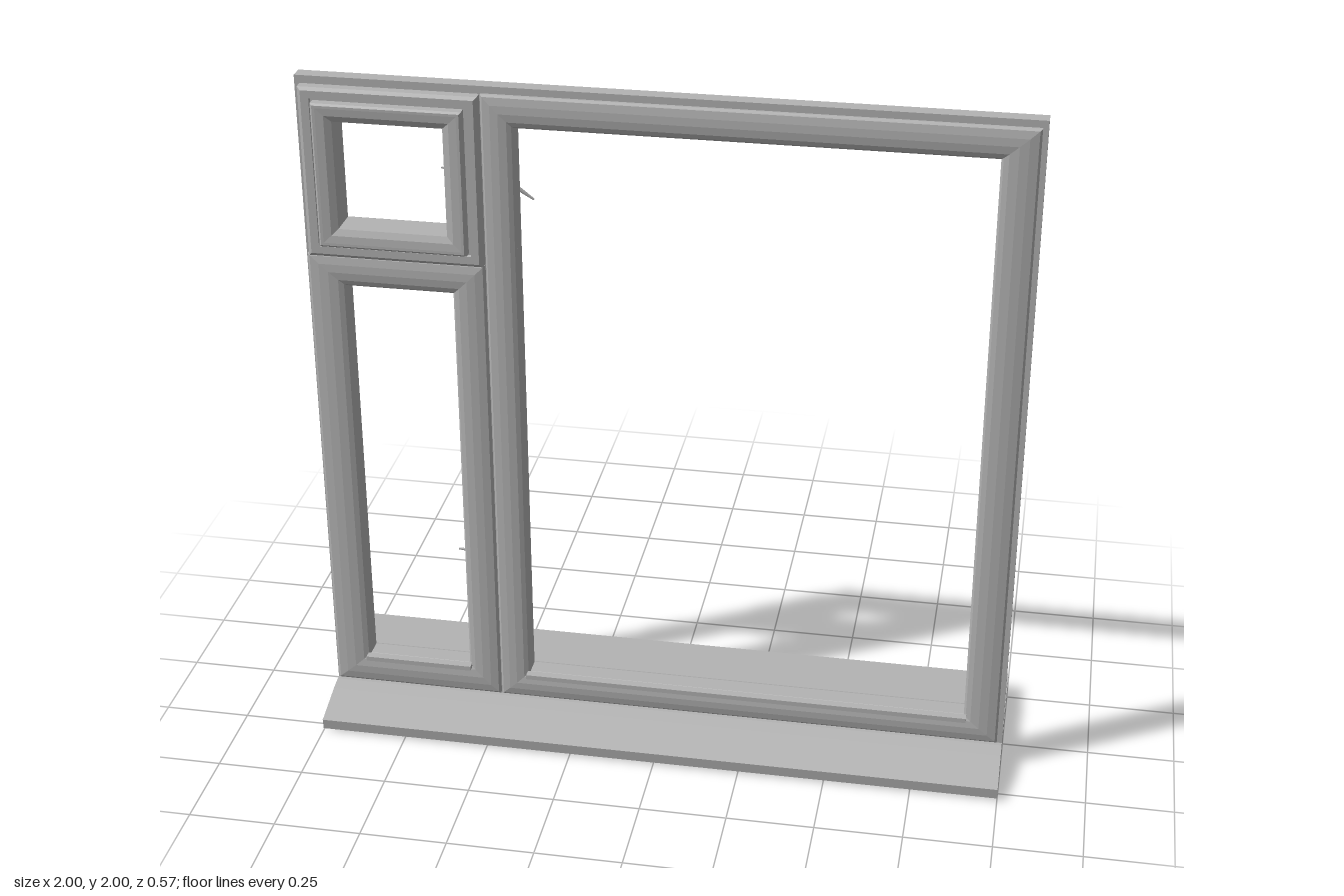
import * as THREE from 'three';

const grey = new THREE.MeshStandardMaterial({ color: 0xb4b4b4 });
grey.name = 'grey';

function add(parent, name, geometry) {
  const mesh = new THREE.Mesh(geometry, grey);
  mesh.name = name;
  parent.add(mesh);
  return mesh;
}

// Mitred rectangular ring; rects are [x0, y0, x1, y1], profile is a closed
// loop of [t, z] with t running from the outer rect (0) to the inner one (1).
function mitredRing(outer, inner, profile) {
  const corner = (r, k) => [r[k === 1 || k === 2 ? 2 : 0], r[k > 1 ? 3 : 1]];
  const point = ([t, z], k) => {
    const o = corner(outer, k), i = corner(inner, k);
    return [o[0] + (i[0] - o[0]) * t, o[1] + (i[1] - o[1]) * t, z];
  };
  const positions = [];
  for (let k = 0; k < 4; k++) {
    const next = (k + 1) % 4;
    profile.forEach((p, i) => {
      const q = profile[(i + 1) % profile.length];
      const a = point(p, k), b = point(p, next), c = point(q, next), d = point(q, k);
      positions.push(...a, ...b, ...c, ...a, ...c, ...d);
    });
  }
  const geometry = new THREE.BufferGeometry();
  geometry.setAttribute('position', new THREE.Float32BufferAttribute(positions, 3));
  geometry.computeVertexNormals();
  return geometry;
}

// Extrudes a [z, y] section across the full width
function sillGeometry(section) {
  const shape = new THREE.Shape(section.map(([z, y]) => new THREE.Vector2(z, y)));
  const geometry = new THREE.ExtrudeGeometry(shape, { depth: 2, bevelEnabled: false });
  geometry.rotateY(-Math.PI / 2);
  geometry.translate(1, 0, 0);
  return geometry;
}

// Frame body with a raised glazing bead on the inside
const bodyProfile = [
  [0, 0.112], [1, 0.112], [1, 0.066], [0.96, 0.056], [0.88, 0.055], [0.86, 0.062],
  [0.12, 0.061], [0.04, 0.064], [0, 0.07],
];
// Gently rounded outside face
const faceProfile = [
  [0, 0.11], [0, 0.121], [0.06, 0.125], [0.3, 0.129], [0.55, 0.13], [0.8, 0.127],
  [0.94, 0.122], [1, 0.116], [1, 0.11],
];
// Stepped opening sash
const sashProfile = [
  [0, 0.11], [0, 0.138], [0.1, 0.145], [0.34, 0.145], [0.36, 0.136], [0.42, 0.136],
  [0.42, 0.16], [0.48, 0.165], [0.56, 0.165], [0.8, 0.163], [1, 0.155], [1, 0.11],
];

function makeHandle(name, x, y, angle) {
  const handle = new THREE.Group();
  handle.name = name;
  handle.position.set(x, y, 0.06);

  const plate = add(handle, 'handlePlate', new THREE.CylinderGeometry(0.014, 0.018, 0.01, 20));
  plate.rotation.x = -Math.PI / 2;
  plate.scale.z = 1.9;
  plate.position.z = -0.003;

  // Neck curves out of the plate into the tapered lever
  const lever = new THREE.Group();
  lever.name = 'lever';
  lever.rotation.z = angle;
  const neck = new THREE.QuadraticBezierCurve3(
    new THREE.Vector3(0, 0, 0), new THREE.Vector3(0, 0, -0.033), new THREE.Vector3(0.028, 0, -0.035));
  add(lever, 'leverNeck', new THREE.TubeGeometry(neck, 10, 0.0075, 10));
  const grip = add(lever, 'leverGrip', new THREE.CylinderGeometry(0.003, 0.0085, 0.074, 12));
  grip.rotation.z = -Math.PI / 2;
  grip.position.set(0.06, 0, -0.037);
  grip.scale.z = 0.6;
  handle.add(lever);
  return handle;
}

export function createModel() {
  const model = new THREE.Group();
  model.name = 'window';

  // Three lights: fixed frame bodies and their outside faces
  const lights = [
    { name: 'largeLight', outer: [-0.49, 0.08, 1, 2], face: [-0.488, 0.09, 0.985, 1.98],
      inner: [-0.4, 0.175, 0.885, 1.89] },
    { name: 'lowerSideLight', outer: [-1, 0.08, -0.49, 1.487], face: [-0.995, 0.09, -0.492, 1.487],
      inner: [-0.89, 0.185, -0.585, 1.395] },
    { name: 'upperSideLight', outer: [-1, 1.487, -0.49, 2], inner: [-0.89, 1.58, -0.585, 1.89] },
  ];
  for (const { name, outer, face, inner } of lights) {
    const light = new THREE.Group();
    light.name = name;
    add(light, 'frameBody', mitredRing(outer, inner, bodyProfile));
    if (face) {
      add(light, 'frameFace', mitredRing(face, inner, faceProfile));
      // Drip strip along the bottom of the opening
      const width = inner[2] - inner[0] + 0.015;
      const strip = add(light, 'dripStrip', new THREE.BoxGeometry(width, 0.014, 0.024));
      strip.position.set((inner[0] + inner[2]) / 2, inner[1] - 0.005, 0.133);
    } else {
      add(light, 'openingSash', mitredRing([-0.985, 1.489, -0.492, 1.978], inner, sashProfile));
    }
    model.add(light);
  }

  // Inside board and sloping outside sill
  add(model, 'insideBoard', sillGeometry([
    [0.165, 0.003], [0.183, 0.055], [0.178, 0.07], [-0.272, 0.07], [-0.283, 0.06],
    [-0.283, 0.016], [-0.268, 0.003],
  ]));
  add(model, 'outsideSill', sillGeometry([
    [0.07, 0.068], [0.16, 0.066], [0.272, 0.035], [0.272, 0.014], [0.283, 0.01],
    [0.286, 0.042], [0.165, 0.076], [0.125, 0.084], [0.07, 0.084],
  ]));

  // Hinges on both outer edges: [side, centre height, length]
  const hinges = [
    [1, 1.63, 0.15], [1, 0.49, 0.15],
    [-1, 1.83, 0.15], [-1, 1.65, 0.11], [-1, 1.24, 0.15], [-1, 0.4, 0.15],
  ];
  for (const [side, y, length] of hinges) {
    const hinge = add(model, 'hinge', new THREE.CylinderGeometry(0.006, 0.006, length, 10));
    hinge.position.set(side * 0.993, y, 0.062);
  }

  // Handles either side of the mullion
  model.add(
    makeHandle('largeUpperHandle', -0.452, 1.705, -0.6),
    makeHandle('largeLowerHandle', -0.452, 0.51, -1.2),
    makeHandle('sideUpperHandle', -0.533, 1.715, Math.PI - 0.12),
    makeHandle('sideMiddleHandle', -0.533, 1.145, -Math.PI / 2 - 0.2),
    makeHandle('sideLowerHandle', -0.533, 0.515, Math.PI - 0.05),
  );

  return model;
}
